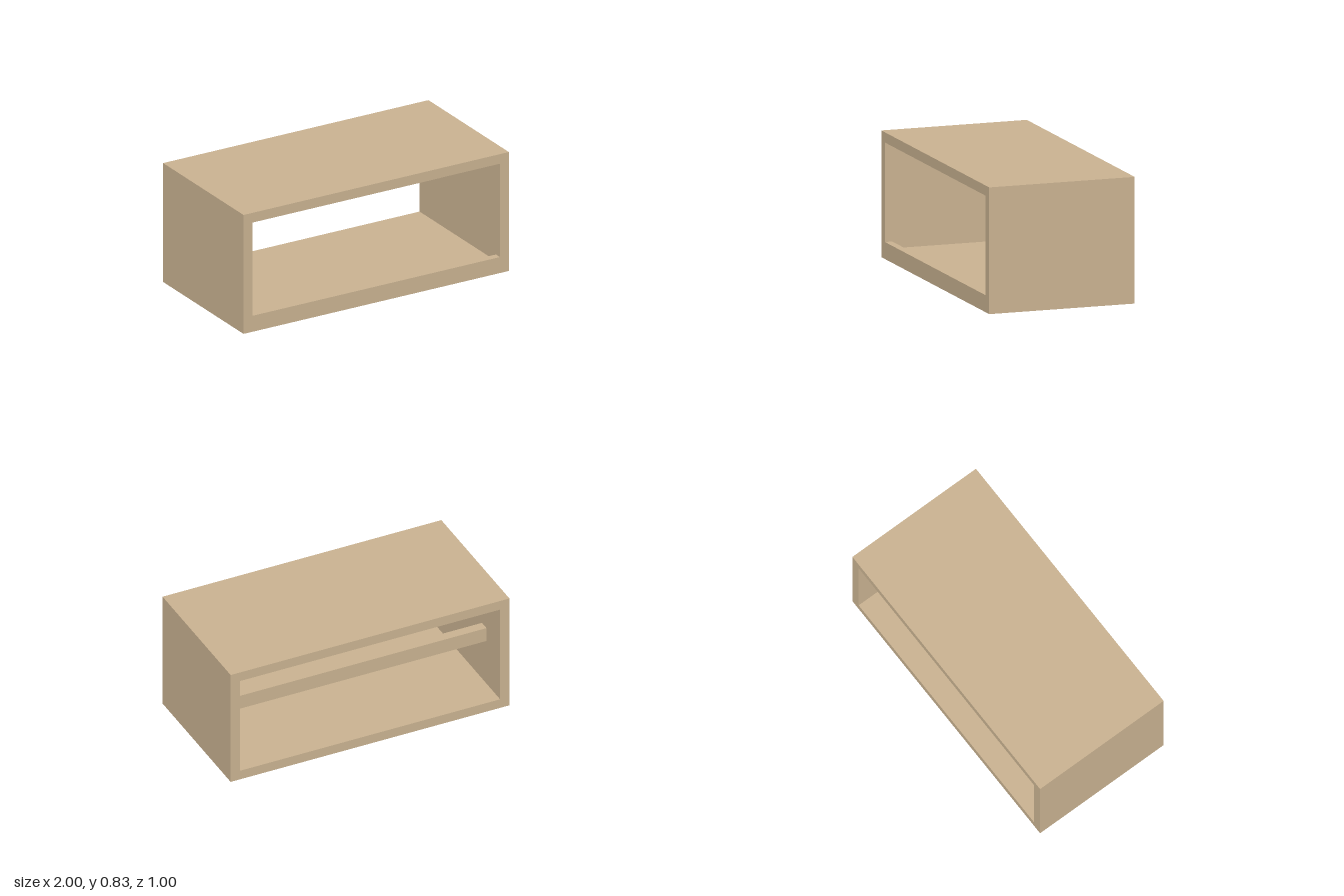
import * as THREE from 'three';

const WIDTH = 2, HEIGHT = 0.833, DEPTH = 1, WALL = 0.067;

export function createModel() {
  const model = new THREE.Group();
  model.name = 'openCabinet';

  const wood = new THREE.MeshStandardMaterial({ color: 0xc8b190 });
  wood.name = 'light wood';

  const add = (name, geometry, x, y, z) => {
    const mesh = new THREE.Mesh(geometry, wood);
    mesh.name = name;
    mesh.position.set(x, y, z);
    model.add(mesh);
  };

  // Top, floor and two sides as one frame, open at the front and back
  const frame = new THREE.Shape([
    new THREE.Vector2(-WIDTH / 2, 0),
    new THREE.Vector2(WIDTH / 2, 0),
    new THREE.Vector2(WIDTH / 2, HEIGHT),
    new THREE.Vector2(-WIDTH / 2, HEIGHT),
  ]);
  const inX = WIDTH / 2 - WALL;
  frame.holes.push(new THREE.Path([
    new THREE.Vector2(-inX, WALL),
    new THREE.Vector2(-inX, HEIGHT - WALL),
    new THREE.Vector2(inX, HEIGHT - WALL),
    new THREE.Vector2(inX, WALL),
  ]));
  const shell = new THREE.ExtrudeGeometry(frame, { depth: DEPTH, bevelEnabled: false });
  add('cabinetFrame', shell, 0, 0, -DEPTH / 2);

  // Low lip along the front edge of the floor
  const lipH = 0.045, lipD = 0.05;
  add('frontLip', new THREE.BoxGeometry(inX * 2, lipH, lipD), 0, WALL + lipH / 2, DEPTH / 2 - lipD / 2);

  // Cross rail set in from the back
  add('backRail', new THREE.BoxGeometry(inX * 2, 0.1, 0.067), 0, 0.45, -0.267);

  return model;
}
